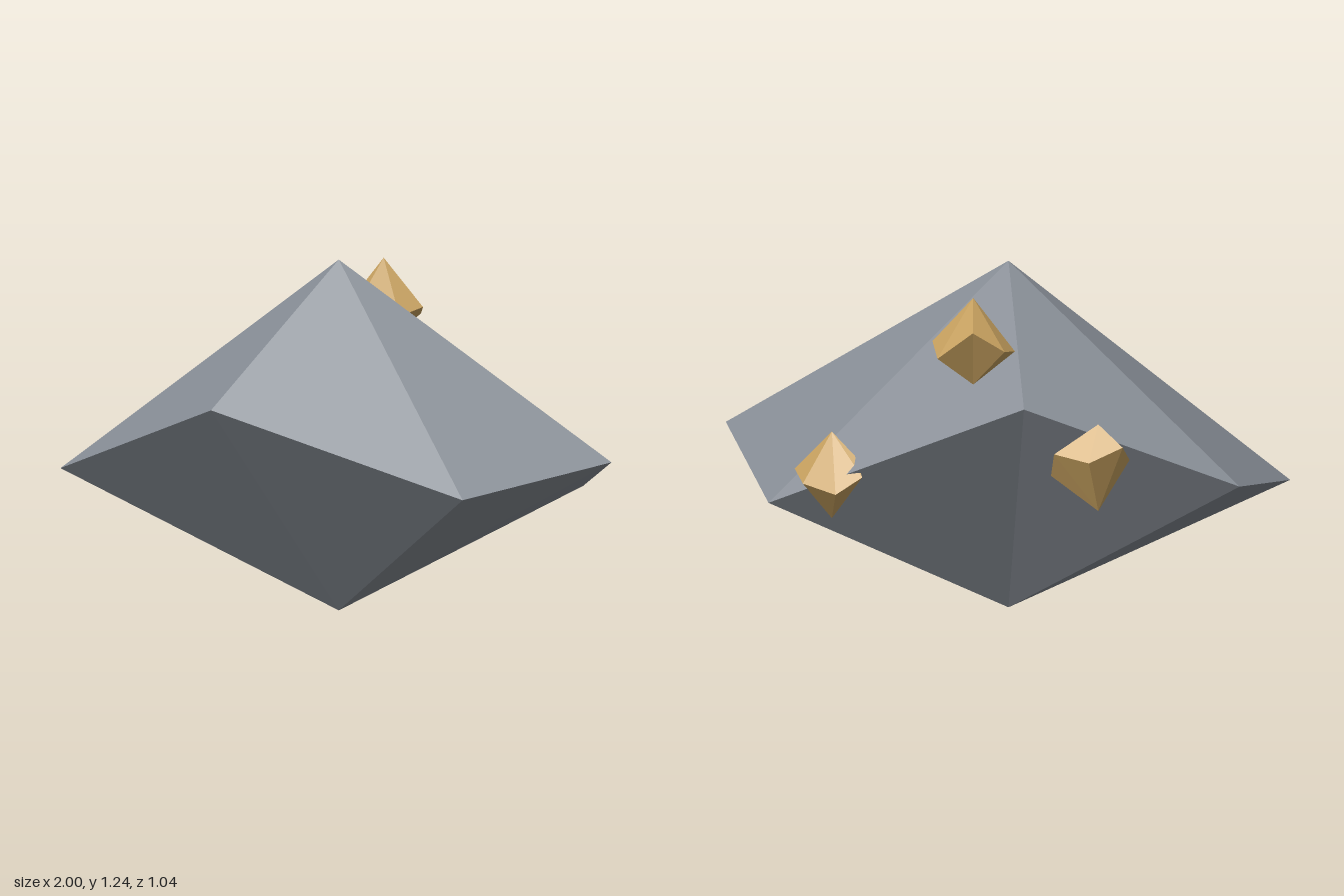
import * as THREE from 'three';

// Faceted stone: two tips on one vertical axis joined to an uneven ring.
// Ring points are [x, y, z], ordered from +x towards +z.
function facetedStone(top, bottom, ring) {
  const positions = [];
  ring.forEach((point, i) => {
    const next = ring[(i + 1) % ring.length];
    positions.push(...top, ...next, ...point); // upper facet
    positions.push(...bottom, ...point, ...next); // lower facet
  });
  const geometry = new THREE.BufferGeometry();
  geometry.setAttribute('position', new THREE.Float32BufferAttribute(positions, 3));
  geometry.computeVertexNormals();
  return geometry;
}

export function createModel() {
  const group = new THREE.Group();
  const stone = new THREE.MeshStandardMaterial({ color: 0x858b93, flatShading: true });
  stone.name = 'slate grey stone';
  const gold = new THREE.MeshStandardMaterial({ color: 0xc8a260, flatShading: true });
  gold.name = 'ochre gold';

  const add = (name, geometry, material) => {
    const mesh = new THREE.Mesh(geometry, material);
    mesh.name = name;
    group.add(mesh);
    return mesh;
  };

  // Main boulder
  add('boulder', facetedStone([-0.04, 1.24, -0.02], [-0.04, 0, -0.02], [
    [1, 0.59, -0.02], [0.61, 0.49, 0.385], [-0.29, 0.77, 0.52], [-1, 0.475, 0.21],
    [-0.965, 0.545, -0.245], [-0.25, 0.82, -0.48], [0.69, 0.42, -0.48],
  ]), stone);

  // Ore nuggets on the back, each ring relative to the nugget's centre
  const nuggets = [
    ['upperNugget', [-0.04, 1.035, -0.41], [
      [0.15, -0.01, 0], [0.095, -0.035, 0.08], [-0.035, 0.035, 0.105], [-0.14, -0.035, 0.04],
      [-0.13, -0.02, -0.045], [-0.03, 0.05, -0.095], [0.1, -0.05, -0.095],
    ]],
    ['rightNugget', [-0.5, 0.615, -0.41], [
      [0.165, -0.035, -0.027], [0.045, 0.005, 0.03], [-0.04, -0.015, 0.05], [-0.1, 0.025, 0.045],
      [-0.1, 0.085, -0.03], [0.003, 0.035, -0.095], [0.136, 0.055, -0.08],
    ]],
    ['leftNugget', [0.48, 0.52, -0.41], [
      [0.14, 0.01, 0.01], [0.115, 0.035, 0.045], [0.04, 0.085, 0.053], [-0.094, 0.08, -0.027],
      [-0.135, 0.015, -0.07], [-0.05, -0.045, -0.11], [0.08, -0.02, -0.08],
    ]],
  ];
  for (const [name, centre, ring] of nuggets) {
    const geometry = facetedStone([0, 0.155, 0], [0, -0.155, 0], ring);
    add(name, geometry, gold).position.set(...centre);
  }

  return group;
}
